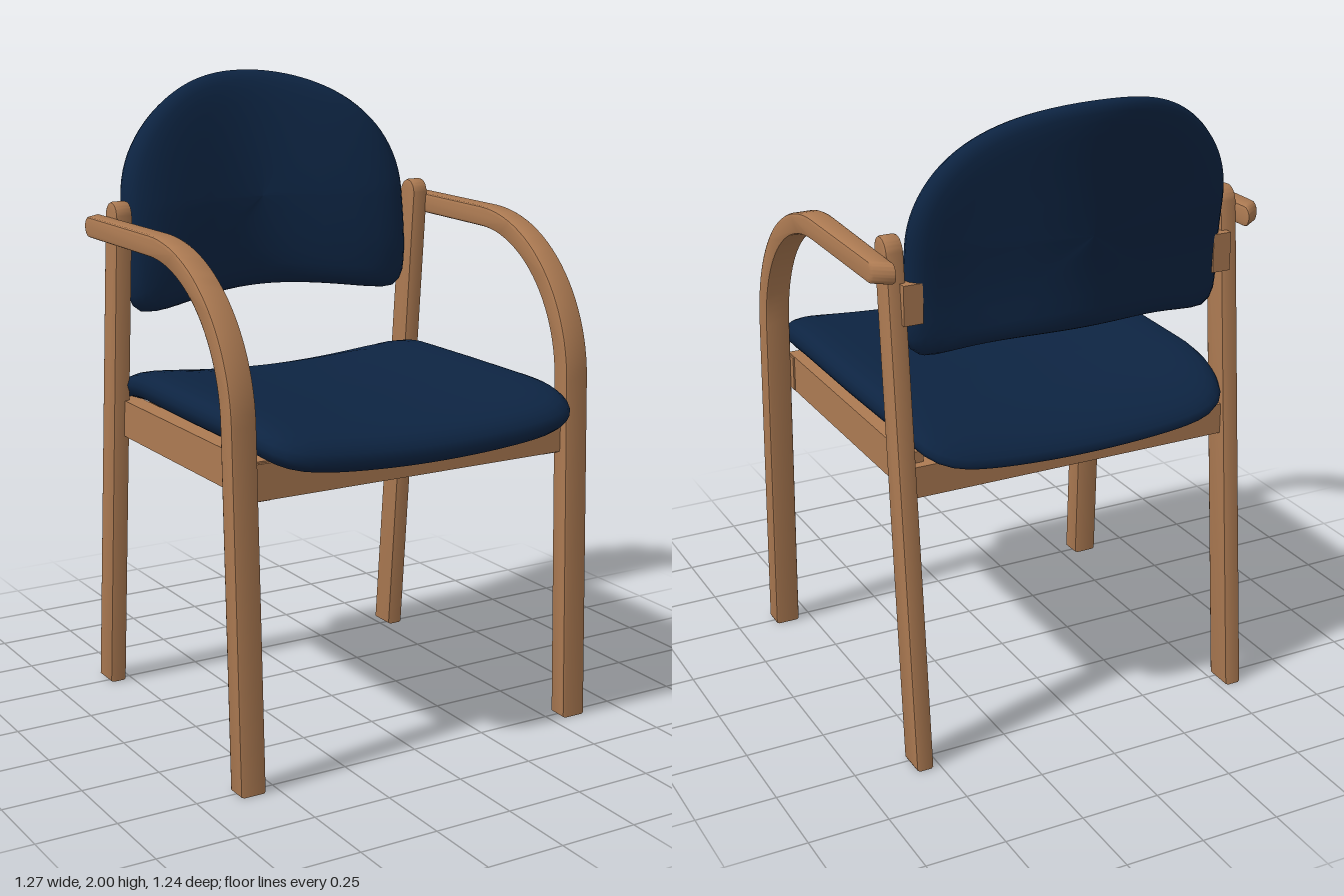
import * as THREE from 'three';
import { toCreasedNormals } from 'three/addons/utils/BufferGeometryUtils.js';

const wood = new THREE.MeshStandardMaterial({ color: 0xac7a52 });
wood.name = 'beech wood';
const fabric = new THREE.MeshStandardMaterial({ color: 0x0d2442 });
fabric.name = 'navy fabric';

// Upholstered pad: rings from the top centre, round the rim, to the bottom centre.
// outline(angle) gives [u, v]; place(u, v, h) bends the pad, with h from 1 (top) to -1.
function cushion(outline, place) {
  const half = [[0, 1], [0.2, 1], [0.4, 1], [0.6, 1], [0.75, 0.99], [0.85, 0.94], [0.92, 0.82], [0.96, 0.64], [0.988, 0.36]];
  const rings = [...half, [1, 0], ...half.map(([r, h]) => [r, -h]).reverse()];
  const n = 112, pos = [], idx = [];
  for (const [r, h] of rings) {
    for (let j = 0; j < n; j++) {
      const [u, v] = outline((j / n) * Math.PI * 2);
      pos.push(...place(u * r, v * r, h));
    }
  }
  for (let i = 0; i < rings.length - 1; i++) {
    for (let j = 0; j < n; j++) {
      const k = (j + 1) % n;
      const a = i * n + j, b = a + n, c = (i + 1) * n + k, d = i * n + k;
      if (i < rings.length - 2) idx.push(a, b, c);
      if (i > 0) idx.push(a, c, d);
      if (i === rings.length - 2) idx.push(a, b, d);
    }
  }
  const g = new THREE.BufferGeometry();
  g.setAttribute('position', new THREE.Float32BufferAttribute(pos, 3));
  g.setIndex(idx);
  g.computeVertexNormals();
  return g;
}

// Rounded rectangle in polar form; higher power means squarer corners
function squircle(t, a, b, power) {
  const c = Math.cos(t), s = Math.sin(t);
  const r = (Math.abs(c / a) ** power + Math.abs(s / b) ** power) ** (-1 / power);
  return [c * r, s * r];
}

// Side profile drawn in (z, y), extruded across x from x0 to x1 with eased edges
function sidePiece(shape, x0, x1) {
  const e = 0.01;
  const g = new THREE.ExtrudeGeometry(shape, {
    depth: x1 - x0 - 2 * e, curveSegments: 24,
    bevelThickness: e, bevelSize: e, bevelOffset: -e, bevelSegments: 2,
  });
  return g.rotateY(-Math.PI / 2).translate(x1 - e, 0, 0);
}

// Copy reflected to the other side, with corner order restored
function mirrored(geometry) {
  const g = geometry.clone().scale(-1, 1, 1);
  const p = g.attributes.position;
  const a = new THREE.Vector3(), b = new THREE.Vector3();
  for (let i = 0; i < p.count; i += 3) {
    a.fromBufferAttribute(p, i + 1);
    b.fromBufferAttribute(p, i + 2);
    p.setXYZ(i + 1, b.x, b.y, b.z);
    p.setXYZ(i + 2, a.x, a.y, a.z);
  }
  return g;
}

export function createModel() {
  const model = new THREE.Group();
  model.name = 'armchair';
  const add = (name, geometry, material) => {
    const m = new THREE.Mesh(geometry, material);
    m.name = name;
    model.add(m);
  };
  const addPair = (name, geometry) => {
    const g = geometry.index ? geometry.toNonIndexed() : geometry;
    add(name + 'Left', toCreasedNormals(g, 0.6), wood);
    add(name + 'Right', toCreasedNormals(mirrored(g), 0.6), wood);
  };
  const box = (x0, x1, y0, y1, z0, z1) => new THREE.BoxGeometry(x1 - x0, y1 - y0, z1 - z0)
    .translate((x0 + x1) / 2, (y0 + y1) / 2, (z0 + z1) / 2);

  // Front leg sweeping up and back into the armrest
  const arm = new THREE.Shape();
  arm.moveTo(0.47, 0);
  arm.lineTo(0.54, 0);
  arm.lineTo(0.505, 1.1);
  arm.bezierCurveTo(0.497, 1.365, 0.279, 1.58, 0, 1.58);
  arm.lineTo(-0.465, 1.58);
  arm.bezierCurveTo(-0.505, 1.58, -0.505, 1.515, -0.465, 1.515);
  arm.lineTo(0, 1.515);
  arm.bezierCurveTo(0.24, 1.515, 0.427, 1.33, 0.435, 1.1);
  arm.closePath();
  const armGeo = sidePiece(arm, 0.54, 0.625);
  // Armrest drifts outward, narrows toward the back and ends in a slanted cut
  const p = armGeo.attributes.position;
  for (let i = 0; i < p.count; i++) {
    const x = p.getX(i), z = p.getZ(i);
    const back = Math.max(0, (0.54 - z) / 1.03), across = (x - 0.54) / 0.085;
    p.setX(i, x + back * (0.035 * (1 - across) + 0.01 * across));
    if (z < -0.42) p.setZ(i, z + 0.045 * across);
  }
  addPair('frontLegAndArm', armGeo);

  // Raked back leg with rounded top
  const leg = new THREE.Shape();
  leg.moveTo(-0.57, 0);
  leg.lineTo(-0.475, 0);
  leg.lineTo(-0.335, 1.58);
  leg.bezierCurveTo(-0.335, 1.645, -0.415, 1.645, -0.423, 1.58);
  leg.closePath();
  addPair('backLeg', sidePiece(leg, 0.52, 0.577));

  // Seat frame and backrest fixings
  addPair('sideRail', box(0.48, 0.54, 0.866, 0.985, -0.44, 0.47));
  add('frontRail', box(-0.545, 0.545, 0.87, 0.98, 0.42, 0.48), wood);
  add('backRail', box(-0.525, 0.525, 0.853, 0.95, -0.47, -0.41), wood);
  addPair('backrestFixing', box(0.48, 0.54, 1.38, 1.5, -0.455, -0.4));

  // Seat: dished across, rolled down at front and back
  add('seat', cushion(
    (t) => squircle(t, 0.545, 0.59, 9),
    (u, v, h) => {
      const z = 0.03 - v;
      const front = Math.max(0, (z - 0.33) / 0.29), rear = Math.max(0, (-z - 0.25) / 0.31);
      const y = 1.01 + 0.04 * (u / 0.54) ** 2 - 0.035 * front ** 2 - 0.075 * rear ** 2;
      const x = u * (1 - 0.02 * Math.max(0, -z / 0.56) - 0.03 * rear ** 2);
      return [x, y + h * (0.06 - 0.02 * rear), z];
    }), fabric);

  // Backrest: domed top, bowed lower edge, wings curving forward
  add('backrest', cushion(
    (t) => {
      if (Math.sin(t) >= 0) return squircle(t, 0.517, 0.4, 2.1);
      const [u, v] = squircle(t, 0.517, 0.35, 10);
      const low = (v / 0.35) ** 2;
      return [u, v + 0.05 * low * Math.max(0, 1 - (u / 0.47) ** 2)];
    },
    (u, v, h) => {
      const y = 1.6 + v;
      const wing = (1 - Math.cos(Math.PI * Math.min(1, Math.abs(u) / 0.46))) / 2;
      const tilt = 0.115 * Math.max(0, (y - 1.4) / 0.6) ** 1.5;
      const thick = 0.062 - 0.025 * Math.max(0, v / 0.4);
      return [u, y, -0.485 - tilt + 0.085 * wing + h * thick];
    }), fabric);

  return model;
}
